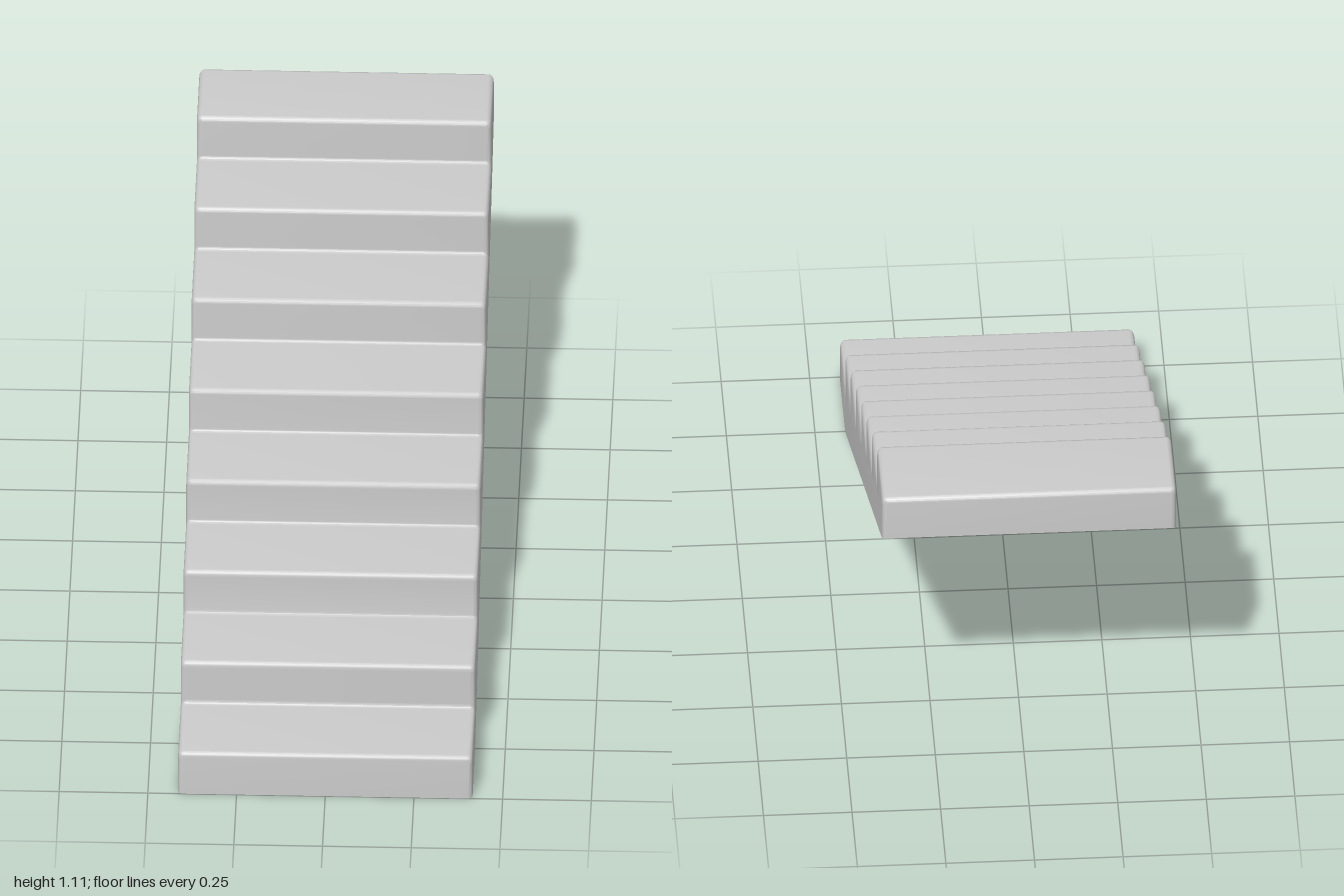
import * as THREE from 'three';
import { toCreasedNormals } from 'three/addons/utils/BufferGeometryUtils.js';

const STEPS = 8, RUN = 0.25, RISE = 1.11 / STEPS, WIDTH = 0.83, EDGE = 0.015;
const SLOPE = RISE / RUN;
const undersideY = z => Math.max(0, (0.75 - z) * SLOPE);

// Rounds one corner of the profile; the outer pair of points keeps the flats flat
function roundCorner(prev, corner, next, size) {
  if (!size) return [corner];
  const toward = (p, d) => corner.clone().add(p.clone().sub(corner).setLength(d));
  const curve = new THREE.QuadraticBezierCurve(toward(prev, size), corner, toward(next, size));
  return [toward(prev, size * 1.2), ...curve.getPoints(5), toward(next, size * 1.2)];
}

// Side outline of the flight, drawn as (z, y)
function stairProfile() {
  const corners = [];
  const add = (z, y, size) => corners.push({ p: new THREE.Vector2(z, y), size });
  add(1, 0, 0);
  for (let i = 0; i < STEPS; i++) {
    add(1 - i * RUN, (i + 1) * RISE, EDGE);              // nosing
    add(1 - (i + 1) * RUN, (i + 1) * RISE, i === STEPS - 1 ? EDGE : 0.01); // foot of next riser
  }
  add(-1, undersideY(-1), 0);
  add(0.75, 0, 0.045);                                   // soft bend underneath
  const n = corners.length;
  return new THREE.Shape(corners.flatMap((c, i) =>
    roundCorner(corners[(i + n - 1) % n].p, c.p, corners[(i + 1) % n].p, c.size)));
}

export function createModel() {
  const group = new THREE.Group();
  group.name = 'staircase';

  // Zero bevelSize only adds rings near the sides; they are rounded below
  const geometry = new THREE.ExtrudeGeometry(stairProfile(), {
    depth: WIDTH - 2 * EDGE, bevelEnabled: true, bevelSize: 0,
    bevelThickness: EDGE, bevelSegments: 5, curveSegments: 1,
  });
  geometry.translate(0, 0, EDGE - WIDTH / 2);
  geometry.rotateY(-Math.PI / 2);

  // Round the side edges of treads, risers and back; the underside stays sharp
  const pos = geometry.attributes.position;
  for (let i = 0; i < pos.count; i++) {
    const y = pos.getY(i), z = pos.getZ(i);
    const u = Math.min(EDGE, Math.max(0, Math.abs(pos.getX(i)) - WIDTH / 2 + EDGE));
    const inset = EDGE - Math.sqrt(EDGE * EDGE - u * u);
    const below = y < undersideY(z) + 0.02;
    if (z < -0.98) {
      pos.setZ(i, z + inset);
      pos.setY(i, y - inset * (below ? SLOPE : 1));
    } else if (!below) {
      pos.setZ(i, z - inset);
      pos.setY(i, y - inset);
    } else if (z > 0.98) {
      pos.setZ(i, z - inset);
    }
  }

  const flight = new THREE.Mesh(
    toCreasedNormals(geometry, 0.45),
    new THREE.MeshStandardMaterial({ color: 0xcccccc }),
  );
  flight.name = 'stairFlight';
  group.add(flight);
  return group;
}
